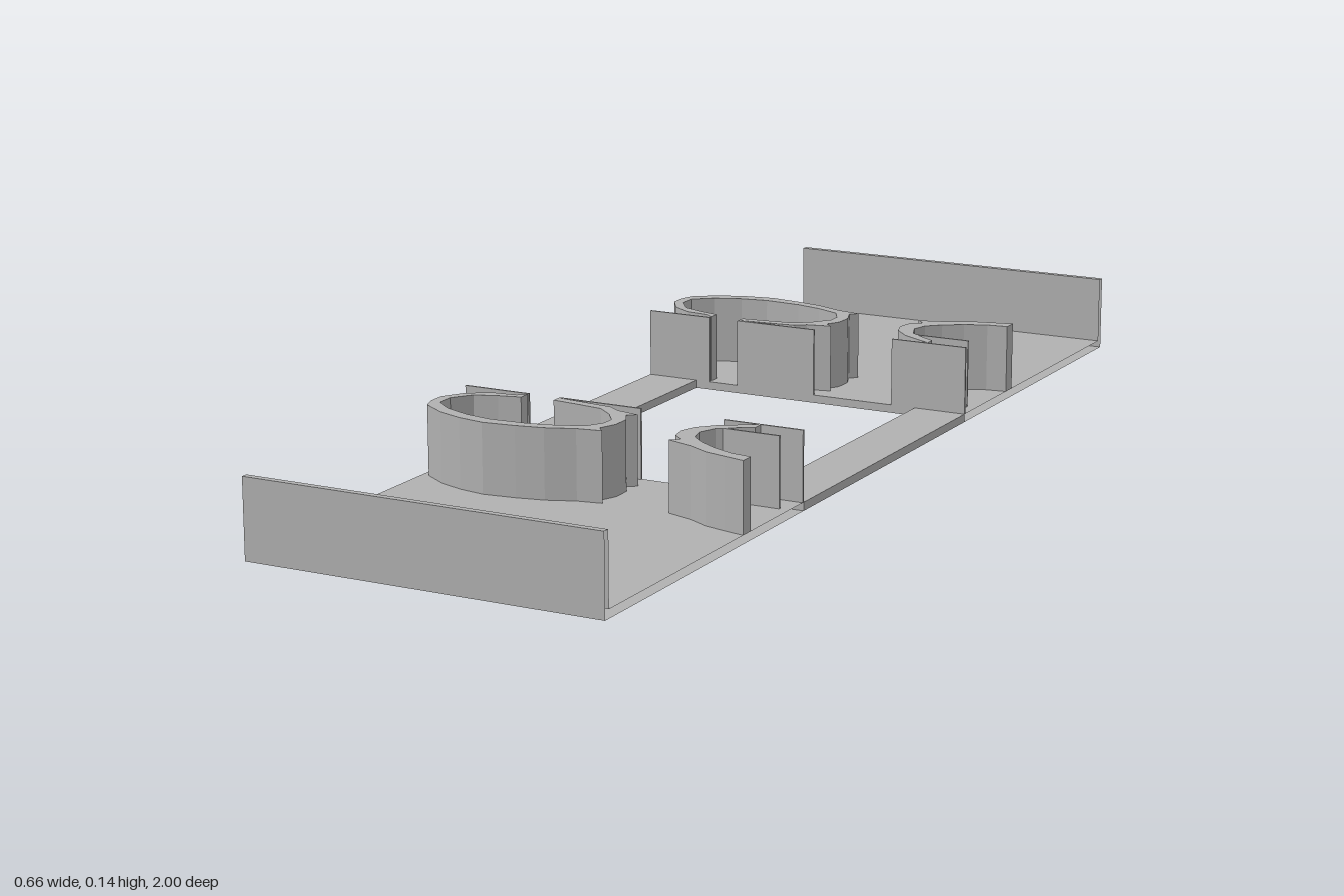
import * as THREE from 'three';

const HALF = 0.328;      // half width
const OPEN = 0.228;      // half width of the central opening
const INNER = 0.33;      // distance from the centre to the decks
const BASE = 0.015;      // deck thickness
const TOP = 0.14;        // overall height

// Wall outlines as [x, distance from centre]: outer edge, then back along the inner edge
const ROUND_WALL = [
  [-0.2, 0.338], [-0.215, 0.35], [-0.26, 0.355], [-0.3, 0.38], [-0.325, 0.42], [-0.325, 0.45],
  [-0.315, 0.48], [-0.27, 0.51], [-0.22, 0.528], [-0.17, 0.537], [-0.11, 0.53], [-0.06, 0.52],
  [-0.01, 0.5], [0.035, 0.492], [0.022, 0.478], [0.035, 0.445], [0.034, 0.41], [0.02, 0.385],
  [0.035, 0.372], [-0.01, 0.362], [-0.03, 0.347], [-0.09, 0.34], [-0.14, 0.335],
  [-0.14, 0.352], [-0.09, 0.358], [-0.04, 0.365], [-0.01, 0.39], [0.012, 0.42], [0.012, 0.445],
  [-0.005, 0.475], [-0.05, 0.495], [-0.1, 0.507], [-0.17, 0.512], [-0.22, 0.503], [-0.27, 0.483],
  [-0.305, 0.455], [-0.305, 0.42], [-0.28, 0.385], [-0.24, 0.37], [-0.2, 0.36],
];
const CUT_WALL = [
  [0.25, 0.335], [0.23, 0.345], [0.19, 0.368], [0.16, 0.4], [0.15, 0.43], [0.155, 0.46],
  [0.175, 0.478], [0.16, 0.492], [0.21, 0.508], [0.25, 0.53], [0.29, 0.54], [HALF, 0.549],
  [HALF, 0.522], [0.29, 0.517], [0.25, 0.5], [0.215, 0.478], [0.19, 0.455], [0.182, 0.425],
  [0.195, 0.392], [0.225, 0.37], [0.25, 0.355],
];

export function createModel() {
  const model = new THREE.Group();
  const grey = new THREE.MeshStandardMaterial({ color: 0xb0b0b0, side: THREE.DoubleSide });
  grey.name = 'grey';

  function add(name, geometry) {
    const mesh = new THREE.Mesh(geometry, grey);
    mesh.name = name;
    model.add(mesh);
    return mesh;
  }

  const shapeOf = (points, sx, sy) =>
    new THREE.Shape(points.map(([a, b]) => new THREE.Vector2(a * sx, b * sy)));

  // Vertical wall standing on the deck
  function wall(name, points, side) {
    const geometry = new THREE.ExtrudeGeometry(shapeOf(points, 1, -side),
      { depth: TOP - BASE, bevelEnabled: false });
    geometry.rotateX(-Math.PI / 2).translate(0, BASE, 0);
    add(name, geometry);
  }

  // Thin upright sheet running along x
  function sheet(name, x0, x1, z) {
    add(name, new THREE.BoxGeometry(x1 - x0, TOP - BASE, 0.004))
      .position.set((x0 + x1) / 2, (TOP + BASE) / 2, z);
  }

  // Deck with its end wall: an L section swept across the width, open at its sides
  function deck(name, side) {
    const section = [[INNER, 0], [1, 0], [1, TOP], [0.988, TOP], [0.988, BASE], [INNER, BASE]];
    const swept = new THREE.ExtrudeGeometry(shapeOf(section, -side, 1),
      { depth: 2 * HALF, bevelEnabled: false });
    const { start, count } = swept.groups[1];
    const geometry = new THREE.BufferGeometry();
    for (const key of ['position', 'normal']) {
      const data = swept.attributes[key].array.slice(start * 3, (start + count) * 3);
      geometry.setAttribute(key, new THREE.BufferAttribute(data, 3));
    }
    geometry.rotateY(Math.PI / 2).translate(-HALF, 0, 0);
    add(name, geometry);
  }

  for (const side of [1, -1]) {
    const end = side > 0 ? 'front' : 'back';
    deck(end + 'Deck', side);
    wall(end + 'RoundWall', ROUND_WALL, side);
    wall(end + 'CutWall', CUT_WALL, side);

    // Flat panels along the edge of the opening
    for (const [x0, x1] of [[-HALF, -0.2], [-0.14, 0.02], [0.18, HALF]]) {
      sheet(end + 'EdgePanel', x0, x1, side * (INNER + 0.002));
    }
    // Short partition inside the cut wall
    sheet(end + 'Partition', 0.2, 0.31, side * 0.383);

    // Side rail joining the two decks
    add(side > 0 ? 'leftRail' : 'rightRail',
      new THREE.BoxGeometry(HALF - OPEN, BASE, 2 * INNER))
      .position.set(side * (HALF + OPEN) / 2, BASE / 2, 0);
  }
  return model;
}
